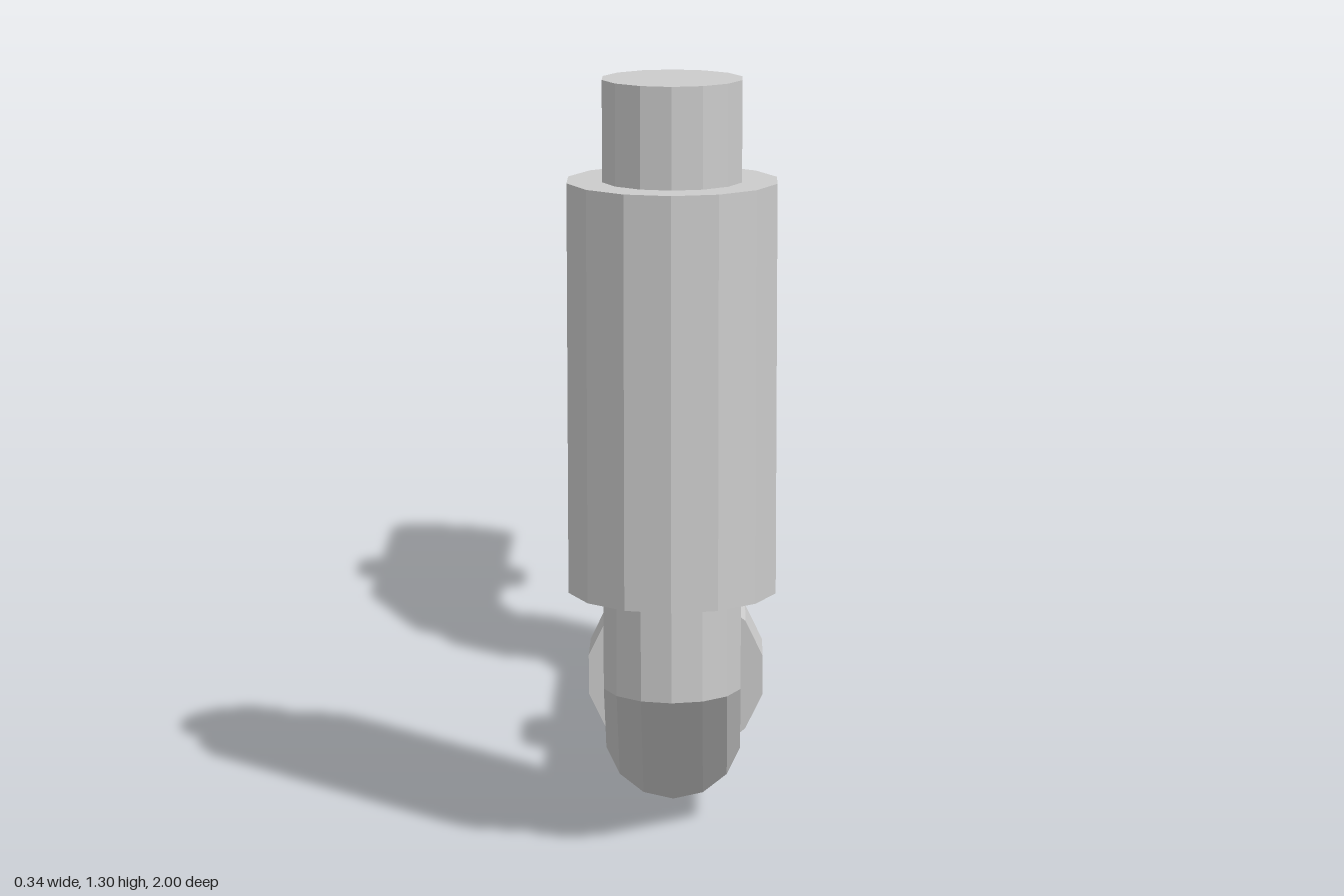
import * as THREE from 'three';

const SIDES = 14;

export function createModel() {
  const model = new THREE.Group();
  const material = new THREE.MeshStandardMaterial({ color: 0xcccccc, flatShading: true });

  const add = (name, geometry) => {
    const mesh = new THREE.Mesh(geometry, material);
    mesh.name = name;
    model.add(mesh);
    return mesh;
  };

  // Bent pipe: rings [y, z, direction of travel] joined in order, with capped ends
  const R = 0.117;
  const down = [-1, 0], back = [0, -1], up = [1, 0];
  const rings = [
    [1.302, 0.825, down], [0.282, 0.825, down],
    [0.165, 0.708, back], [0.165, -0.157, back],
    [0.282, -0.274, up], [0.717, -0.274, up],
    [0.834, -0.391, back], [0.834, -1, back],
  ];
  const positions = [];
  const index = [];
  for (const [y, z, [dy, dz]] of rings) {
    for (let i = 0; i < SIDES; i++) {
      const a = (i / SIDES) * Math.PI * 2;
      const s = R * Math.cos(a);
      positions.push(R * Math.sin(a), y - dz * s, z + dy * s);
    }
  }
  for (let k = 0; k < rings.length - 1; k++) {
    for (let i = 0; i < SIDES; i++) {
      const a = k * SIDES + i, b = k * SIDES + ((i + 1) % SIDES);
      index.push(a, a + SIDES, b, b, a + SIDES, b + SIDES);
    }
  }
  const last = (rings.length - 1) * SIDES;
  for (let i = 1; i < SIDES - 1; i++) {
    index.push(0, i, i + 1, last, last + i + 1, last + i);
  }
  // Orient faces outward by checking the signed volume
  const p = (n) => new THREE.Vector3().fromArray(positions, n * 3);
  let volume = 0;
  for (let i = 0; i < index.length; i += 3) {
    volume += p(index[i]).dot(p(index[i + 1]).cross(p(index[i + 2])));
  }
  if (volume < 0) index.reverse();
  const pipe = new THREE.BufferGeometry();
  pipe.setAttribute('position', new THREE.Float32BufferAttribute(positions, 3));
  pipe.setIndex(index);
  const flatPipe = pipe.toNonIndexed();
  flatPipe.computeVertexNormals();
  add('pipe', flatPipe);

  // Sleeves around the pipe: name, radius, length, y, z, lies along z
  const sleeves = [
    ['muffler', 0.176, 0.685, 0.792, 0.825, false],
    ['lowerCollar', 0.16, 0.118, 0.165, 0.273, true],
    ['riserCollar', 0.147, 0.1, 0.5, -0.274, false],
    ['upperCollar', 0.156, 0.093, 0.834, -0.614, true],
  ];
  for (const [name, radius, length, y, z, alongZ] of sleeves) {
    const sleeve = add(name, new THREE.CylinderGeometry(radius, radius, length, SIDES));
    sleeve.position.set(0, y, z);
    if (alongZ) sleeve.rotation.x = Math.PI / 2;
  }

  return model;
}
